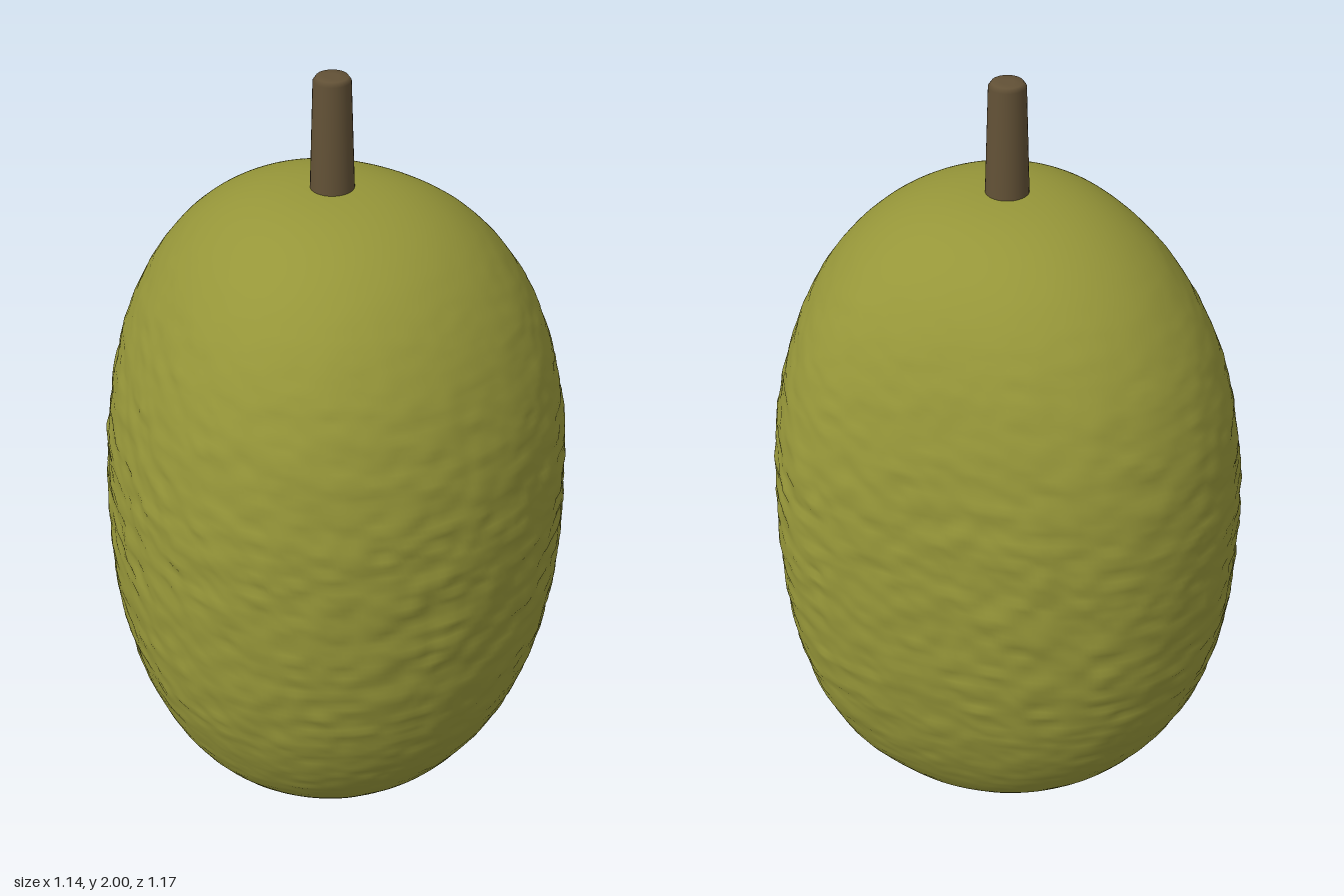
import * as THREE from 'three';
import { mergeVertices } from 'three/addons/utils/BufferGeometryUtils.js';

// Axis of the fruit and stem, middle height and half height of the fruit
const CX = -0.02, CZ = 0.01, MID = 0.87, HALF = 0.865;

// Girth every 22.5 degrees, starting at +x and turning toward +z
const MEAN = 0.57;
const GIRTH = [
  0.583, 0.581, 0.573, 0.566, 0.57, 0.578, 0.572, 0.554,
  0.546, 0.568, 0.595, 0.607, 0.588, 0.544, 0.514, 0.535,
];

// Smooth closed interpolation of the girth
function girth(angle) {
  const n = GIRTH.length;
  const f = ((angle / (2 * Math.PI)) * n + n) % n;
  const i = Math.floor(f), t = f - i;
  const [a, b, c, d] = [-1, 0, 1, 2].map((k) => GIRTH[(i + k + n) % n]);
  return b + 0.5 * t * (c - a + t * (2 * a - 5 * b + 4 * c - d + t * (3 * (b - c) + d - a)));
}

// Smooth value noise on an integer lattice
function hash(i, j, k) {
  let h = Math.imul(i, 374761393) ^ Math.imul(j, 668265263) ^ Math.imul(k, 1274126177);
  h = Math.imul(h ^ (h >>> 13), 1103515245);
  return ((h ^ (h >>> 16)) >>> 0) / 4294967295;
}
function noise(x, y, z) {
  const [i, j, k] = [x, y, z].map(Math.floor);
  const [u, v, w] = [x - i, y - j, z - k].map((t) => t * t * (3 - 2 * t));
  const mix = THREE.MathUtils.lerp;
  const row = (b, c) => mix(hash(i, b, c), hash(i + 1, b, c), u);
  return mix(mix(row(j, k), row(j + 1, k), v), mix(row(j, k + 1), row(j + 1, k + 1), v), w) - 0.5;
}

function fruitGeometry() {
  const sphere = new THREE.SphereGeometry(1, 256, 170);
  sphere.deleteAttribute('uv');
  sphere.deleteAttribute('normal');
  const geo = mergeVertices(sphere, 1e-5);
  const pos = geo.attributes.position;
  const p = new THREE.Vector3();

  for (let i = 0; i < pos.count; i++) {
    p.fromBufferAttribute(pos, i);
    const u = THREE.MathUtils.clamp(p.y, -1, 1);
    const angle = Math.atan2(p.z, p.x);
    const c = Math.cos(angle), s = Math.sin(angle);

    // Full shoulders and straight flanks, leaning up or down around the girth, round at both ends
    const power = 2.4;
    const lean = -0.005 + 0.02 * c - 0.035 * Math.cos(2 * angle) + 0.02 * Math.sin(2 * angle) * (c - s);
    const around = THREE.MathUtils.lerp(girth(angle), MEAN, 0.8 * u ** 4);
    let r = around * Math.max(0, 1 - Math.abs(u) ** power) ** (1 / power) * (1 + lean * u);

    // Fine wrinkles, wider than tall, fading out at both ends
    const x = c * r, z = s * r, y = MID + HALF * u;
    const bump = noise(x * 16 + 40, y * 36, z * 16 + 40) + 0.6 * noise(x * 30 + 90, y * 64, z * 30 + 90);
    r += 0.01 * (1 - u * u) ** 1.5 * bump;
    pos.setXYZ(i, CX + c * r, y, CZ + s * r);
  }
  geo.computeVertexNormals();
  return geo;
}

export function createModel() {
  const skin = new THREE.MeshStandardMaterial({ color: 0x969639 });
  skin.name = 'olive skin';
  const bark = new THREE.MeshStandardMaterial({ color: 0x625136 });
  bark.name = 'brown stem';

  const model = new THREE.Group();
  model.name = 'fruit';

  const body = new THREE.Mesh(fruitGeometry(), skin);
  body.name = 'fruitBody';
  model.add(body);

  // Tapered stem with a softened cut end
  const profile = [[0.052, 1.7], [0.043, 1.99], [0.036, 2], [0.015, 2], [0, 2]];
  const stem = new THREE.Mesh(
    new THREE.LatheGeometry(profile.map(([r, y]) => new THREE.Vector2(r, y)), 32), bark);
  stem.name = 'stem';
  stem.position.set(CX, 0, CZ);
  model.add(stem);

  return model;
}
